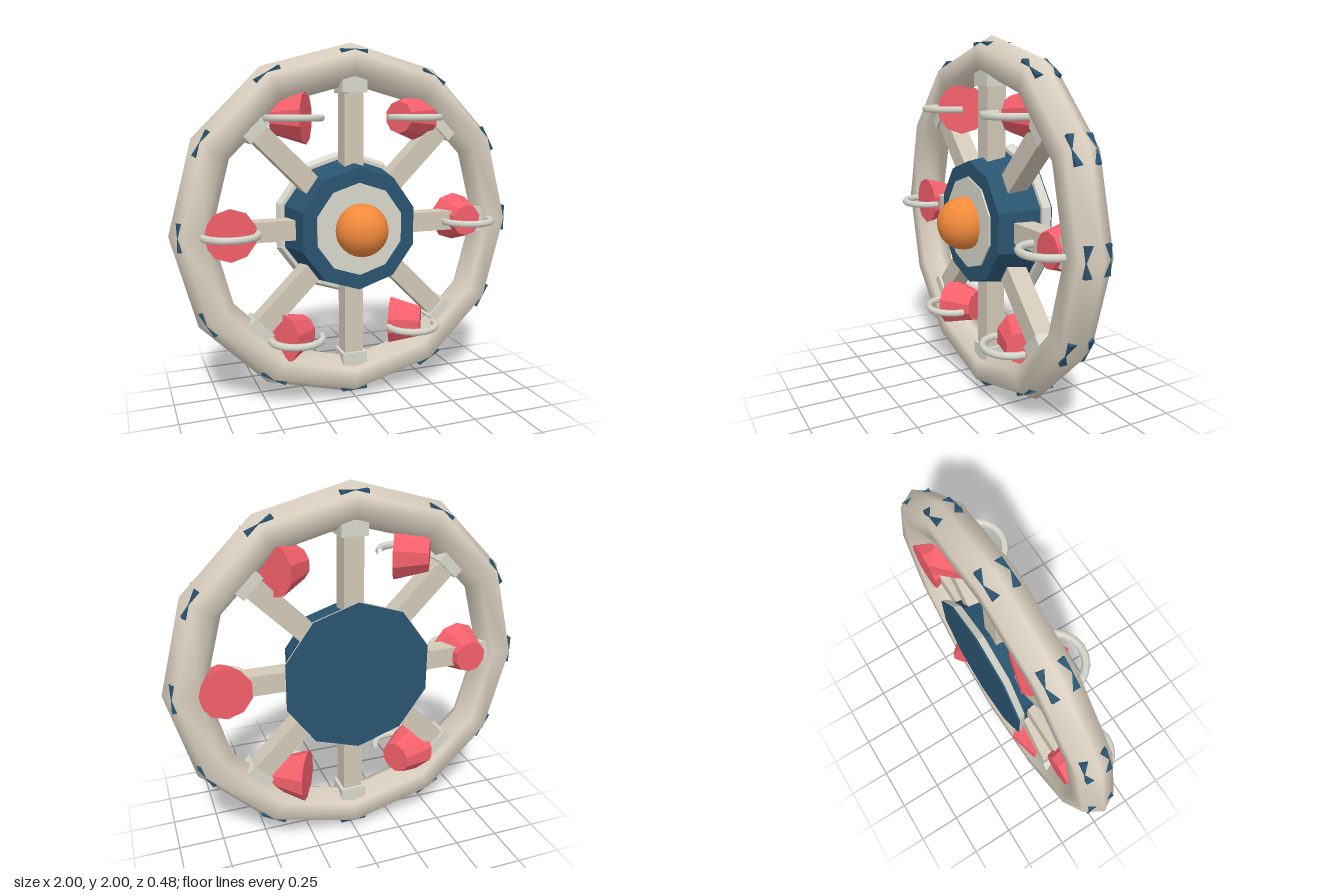
import * as THREE from 'three';

const mat = (color, flatShading = true) => new THREE.MeshStandardMaterial({ color, flatShading });
const CREAM = mat(0xdcd2c2, false), TAN = mat(0xd2c9b8), PALE = mat(0xd8d8cc),
  PALE_SMOOTH = mat(0xd8d8cc, false), BLUE = mat(0x2a5470), RED = mat(0xf4606b), ORANGE = mat(0xf28a3c, false);

const MID = -0.075; // depth of the wheel's middle plane

function add(parent, name, geometry, material, x = 0, y = 0, z = 0) {
  const mesh = new THREE.Mesh(geometry, material);
  mesh.name = name;
  mesh.position.set(x, y, z);
  parent.add(mesh);
  return mesh;
}

// Ten-sided disc facing +z, between two depths
function disc(parent, name, rFront, rBack, zFront, zBack, material) {
  const g = new THREE.CylinderGeometry(rFront, rBack, zFront - zBack, 10).rotateX(Math.PI / 2);
  return add(parent, name, g, material, 0, 0, (zFront + zBack) / 2);
}

export function createModel() {
  const model = new THREE.Group();
  const wheel = new THREE.Group();
  wheel.name = 'wheel';
  wheel.position.y = 1;
  model.add(wheel);

  // Twelve-sided rim with a hexagonal section
  add(wheel, 'rim', new THREE.TorusGeometry(0.89, 0.11, 6, 12), CREAM, 0, 0, MID);

  // Blocks sunk into the rim corners, showing only at their ends
  for (let i = 0; i < 12; i++) {
    const a = i * Math.PI / 6;
    const block = add(wheel, 'rimBlock', new THREE.BoxGeometry(0.06, 0.15, 0.14), BLUE,
      0.932 * Math.cos(a), 0.932 * Math.sin(a), MID);
    block.rotation.z = a;
  }

  // Spokes with end caps
  for (let i = 0; i < 8; i++) {
    const spoke = new THREE.Group();
    spoke.name = 'spoke';
    spoke.rotation.z = i * Math.PI / 4;
    add(spoke, 'spokeBeam', new THREE.BoxGeometry(0.6, 0.11, 0.11), TAN, 0.5, 0, MID);
    add(spoke, 'spokeCap', new THREE.BoxGeometry(0.09, 0.145, 0.14), PALE, 0.78, 0, MID);
    wheel.add(spoke);
  }

  // Hub
  disc(wheel, 'hubDrum', 0.34, 0.38, 0.065, -0.17, BLUE);
  disc(wheel, 'hubFace', 0.255, 0.255, 0.075, 0.03, PALE);
  disc(wheel, 'hubBackRing', 0.4, 0.42, -0.165, -0.203, PALE);
  disc(wheel, 'hubBackPlate', 0.415, 0.415, -0.195, -0.212, BLUE);
  add(wheel, 'hubBall', new THREE.SphereGeometry(0.145, 24, 16), ORANGE, 0, 0, 0.1);

  // Tapered pods, each turned further about the vertical, with a half-ring bar in front
  for (let i = 0; i < 6; i++) {
    const a = i * Math.PI / 3;
    const x = 0.695 * Math.cos(a), y = 0.695 * Math.sin(a);
    const pod = add(wheel, 'pod', new THREE.CylinderGeometry(0.09, 0.142, 0.18, 10), RED, x, y, MID);
    pod.rotation.set(Math.PI / 2, 0, a);
    const bar = new THREE.TorusGeometry(0.145, 0.02, 6, 10, Math.PI).rotateX(Math.PI / 2);
    add(wheel, 'podBar', bar, PALE_SMOOTH, x, y, 0.005);
  }
  return model;
}
